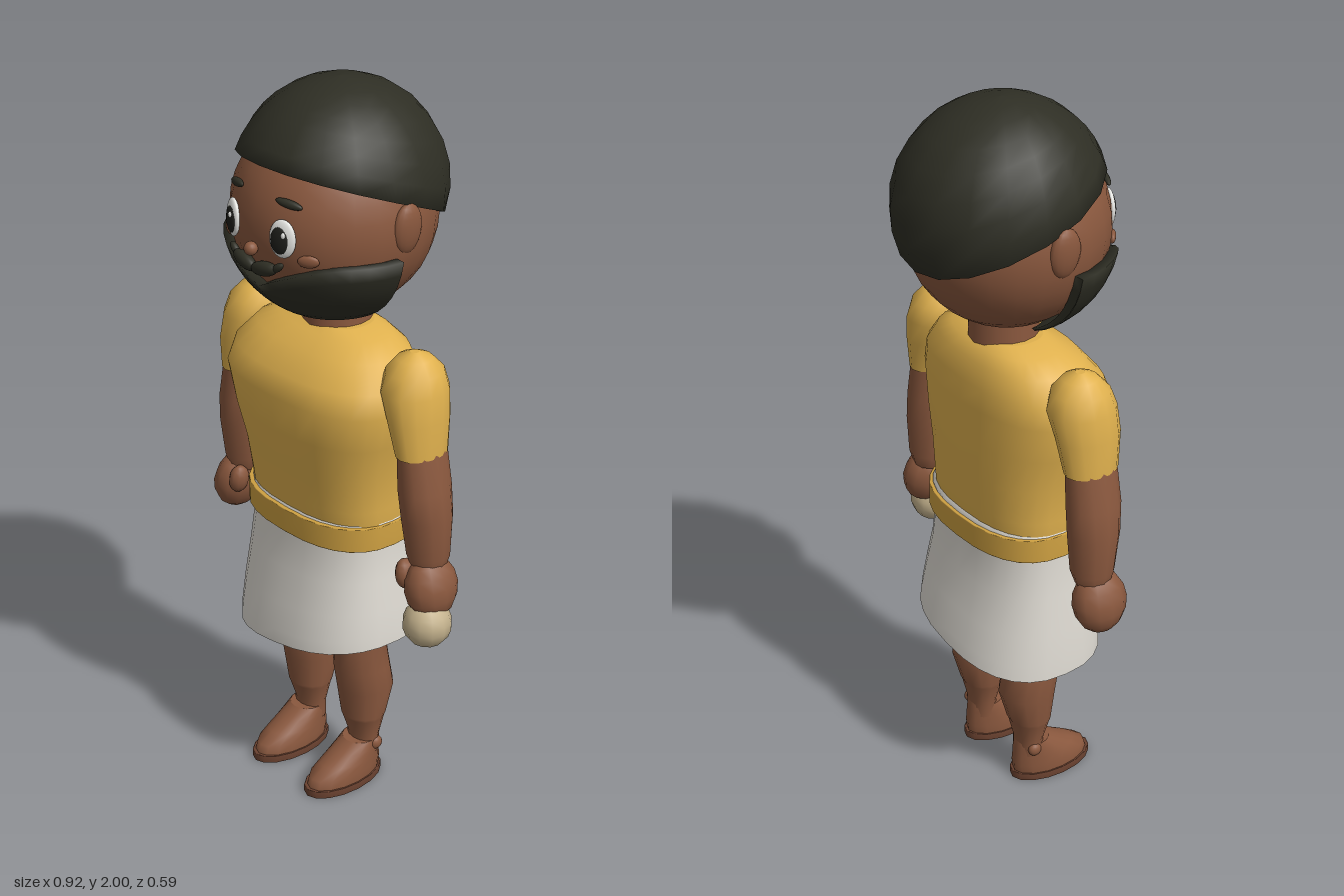
import * as THREE from 'three';

const mat = (name, color, side = THREE.FrontSide) => {
  const m = new THREE.MeshStandardMaterial({ color, side });
  m.name = name;
  return m;
};

// Indexed grid surface from point(row, column); columns optionally wrap round
function grid(rows, cols, point, wrap = true) {
  const pos = [], idx = [], n = wrap ? cols : cols + 1;
  for (let i = 0; i <= rows; i++)
    for (let j = 0; j < n; j++) pos.push(...point(i, j));
  for (let i = 0; i < rows; i++)
    for (let j = 0; j < cols; j++) {
      const k = (j + 1) % n, a = i * n + j, b = i * n + k;
      idx.push(a, b, b + n, a, b + n, a + n);
    }
  const g = new THREE.BufferGeometry();
  g.setAttribute('position', new THREE.Float32BufferAttribute(pos, 3));
  g.setIndex(idx);
  g.computeVertexNormals();
  return g;
}

// Loft of rounded sections, each [y, half width, front z, back z, centre x]
function loft(sections, { seg = 20, pow = 1, x = 0, side = 1, caps = true, tilt = null } = {}) {
  const soft = v => Math.sign(v) * Math.abs(v) ** pow;
  const shape = (s, k) => j => {
    const a = (j / seg) * Math.PI * 2, mid = (s[2] + s[3]) / 2;
    const px = x + side * (s[4] || 0) + s[1] * k * soft(Math.sin(a));
    return [px, s[0] + (tilt ? tilt(px, s[0]) : 0), mid + ((s[2] - s[3]) / 2) * k * soft(Math.cos(a))];
  };
  const rows = sections.map(s => shape(s, 1));
  if (caps) {
    const a = sections[0], b = sections[sections.length - 1];
    // doubled rims keep the cap edges crisp
    rows.unshift(shape(a, 0), shape(a, 0.97));
    rows.push(shape(b, 0.97), shape(b, 0));
  }
  return grid(rows.length - 1, seg, (i, j) => rows[i](j));
}

export function createModel() {
  const D = THREE.DoubleSide;
  const skin = mat('skin', 0x8a583e);
  const soleBrown = mat('sole brown', 0x6b4230);
  const hairDark = mat('dark hair', 0x2e2e24, D);
  const yellow = mat('yellow cloth', 0xe0b14e);
  const gold = mat('gold belt', 0xcfa142, D);
  const white = mat('white cloth', 0xdfdbd3, D);
  const eyeWhite = mat('eye white', 0xeeeeea);
  const eyeDark = mat('eye dark', 0x1e1e1a);
  const cream = mat('cream stone', 0xc3b18c);

  const root = new THREE.Group();
  const body = new THREE.Group();
  body.name = 'figure';
  body.position.x = -0.008;
  root.add(body);
  const add = (name, geo, m, parent = body) => {
    const mesh = new THREE.Mesh(geo, m);
    mesh.name = name;
    parent.add(mesh);
    return mesh;
  };
  const ball = (name, m, p, r, roll = 0, ws = 16, hs = 12) => {
    const b = add(name, new THREE.SphereGeometry(1, ws, hs), m);
    b.position.set(...p);
    b.scale.set(...r);
    b.rotation.z = roll;
    return b;
  };

  // Head, ears and neck
  const HY = 1.66, HR = 0.265;
  ball('head', skin, [0, HY, 0], [HR, HR, HR], 0, 24, 18);
  const neck = add('neck', new THREE.CylinderGeometry(0.09, 0.095, 0.14, 16), skin);
  neck.position.set(0, 1.39, -0.01);
  for (const s of [-1, 1]) ball('ear', skin, [s * 0.255, 1.675, -0.012], [0.024, 0.068, 0.045], s * -0.08);

  // Hair cap with a rim that slopes from brow to nape
  add('hair', grid(9, 18, (i, j) => {
    const a = (j / 18) * Math.PI * 2, c = Math.cos(a);
    const rim = Math.acos((1.735 + 0.115 * c - 0.02 * c * c - 1.72) / 0.28);
    const t = rim * Math.min(1, (9 - i) / 8);
    const k = i === 0 ? 0.9 : 1; // thickness at the rim
    const t2 = i === 0 ? rim : rim * ((9 - i) / 8);
    const th = i === 0 ? t : t2;
    return [0.268 * k * Math.sin(th) * Math.sin(a), 1.72 + 0.28 * Math.cos(th),
      -0.02 + 0.285 * k * Math.sin(th) * c];
  }), hairDark);

  // Beard: thick shell round the jaw with a dipped top edge and closed ends
  const BU = 18, BV = 7;
  add('beard', grid(BU + 2, 2 * BV + 2, (i, j) => {
    const u = Math.min(BU, Math.max(0, i - 1)) / BU;
    const a = (u * 2 - 1) * 1.49;
    const top = 1.515 + 0.09 * Math.sin(Math.min(1, Math.abs(a)) * Math.PI / 2);
    const eTop = Math.asin((top - 1.645) / 0.27), eLow = Math.asin(-0.25 / 0.27);
    const inner = j > BV, v = (inner ? 2 * BV + 1 - j : j) / BV;
    const e = eTop + (eLow - eTop) * v;
    const k = inner && i > 0 && i < BU + 2 ? 0.89 : 1;
    const r = Math.cos(e) * k;
    return [0.288 * r * Math.sin(a), 1.645 + 0.27 * Math.sin(e) * (inner ? 0.99 : 1), 0.284 * r * Math.cos(a)];
  }), hairDark);

  // Facial features set on the head surface, facing outwards
  const feature = (name, m, x, y, lift, r, roll = 0) => {
    const n = new THREE.Vector3(x, y - HY, Math.sqrt(HR * HR - x * x - (y - HY) ** 2)).normalize();
    const f = ball(name, m, [0, 0, 0], r);
    f.position.copy(n).multiplyScalar(HR + lift);
    f.position.y += HY;
    f.quaternion.setFromUnitVectors(new THREE.Vector3(0, 0, 1), n)
      .multiply(new THREE.Quaternion().setFromAxisAngle(new THREE.Vector3(0, 0, 1), roll));
  };
  for (const s of [-1, 1]) {
    feature('eye', eyeWhite, s * 0.094, 1.67, 0.002, [0.037, 0.05, 0.013]);
    feature('pupil', eyeDark, s * 0.09, 1.667, 0.009, [0.026, 0.036, 0.01]);
    feature('eyeHighlight', eyeWhite, s * 0.09 + 0.012, 1.683, 0.018, [0.006, 0.008, 0.004]);
    feature('eyebrow', hairDark, s * 0.097, 1.755, 0.004, [0.038, 0.011, 0.01], s * -0.08);
    feature('cheek', skin, s * 0.15, 1.618, 0.002, [0.028, 0.017, 0.01]);
    feature('moustache', hairDark, s * 0.035, 1.58, 0.012, [0.045, 0.02, 0.018], s * 0.22);
    feature('moustacheTip', hairDark, s * 0.078, 1.594, 0.012, [0.022, 0.01, 0.01], s * 0.65);
  }
  feature('nose', skin, 0, 1.623, 0.01, [0.018, 0.018, 0.018]);

  // Shirt, belt and slanted skirt
  add('shirt', loft([
    [0.83, 0.24, 0.16, -0.14], [0.9, 0.243, 0.17, -0.145], [1.0, 0.25, 0.187, -0.15],
    [1.1, 0.276, 0.207, -0.152], [1.2, 0.298, 0.218, -0.15], [1.26, 0.285, 0.195, -0.145],
    [1.32, 0.235, 0.145, -0.13], [1.35, 0.175, 0.095, -0.105], [1.365, 0.11, 0.075, -0.085],
  ], { seg: 28, pow: 0.8 }), yellow);
  add('belt', loft([
    [0.79, 0.23, 0.155, -0.14], [0.79, 0.248, 0.18, -0.163], [0.792, 0.25, 0.182, -0.165],
    [0.856, 0.25, 0.182, -0.165], [0.858, 0.248, 0.18, -0.163], [0.858, 0.238, 0.17, -0.153],
  ], { seg: 28, pow: 0.8, caps: false }), gold);
  add('skirt', loft([
    [0.46, 0.265, 0.22, -0.205], [0.5, 0.264, 0.218, -0.2], [0.58, 0.258, 0.203, -0.182],
    [0.68, 0.246, 0.183, -0.16], [0.79, 0.236, 0.165, -0.147], [0.862, 0.242, 0.17, -0.156],
    [0.862, 0.2, 0.13, -0.12],
  ], { seg: 28, pow: 0.82, caps: false, tilt: (x, y) => 0.155 * x * Math.max(0, (0.8 - y) / 0.34) }), white);

  for (const s of [-1, 1]) {
    const x = s * 0.112;
    // Leg, foot and sole
    add('leg', loft([
      [0.08, 0.05, 0.035, -0.045], [0.13, 0.05, 0.03, -0.045], [0.19, 0.064, 0.05, -0.06],
      [0.2, 0.067, 0.054, -0.065], [0.29, 0.078, 0.068, -0.092], [0.36, 0.078, 0.08, -0.078],
      [0.42, 0.073, 0.08, -0.068], [0.52, 0.08, 0.083, -0.075], [0.8, 0.095, 0.09, -0.09],
    ], { seg: 14, x }), skin);
    add('foot', loft([
      [0.018, 0.063, 0.188, -0.052], [0.045, 0.062, 0.18, -0.055], [0.07, 0.058, 0.14, -0.052],
      [0.095, 0.054, 0.095, -0.05], [0.12, 0.049, 0.055, -0.045],
    ], { seg: 16, x }), skin);
    add('sole', loft([[0, 0.068, 0.198, -0.06], [0.02, 0.068, 0.198, -0.06]], { seg: 16, x }), soleBrown);
    ball('ankle', skin, [x + s * 0.043, 0.105, -0.015], [0.015, 0.02, 0.02]);

    // Sleeve, arm and hand
    add('sleeve', loft([
      [1.105, 0.054, 0.088, -0.066, 0.347], [1.2, 0.068, 0.1, -0.08, 0.333], [1.27, 0.084, 0.098, -0.088, 0.312],
      [1.32, 0.073, 0.08, -0.075, 0.308], [1.352, 0.046, 0.05, -0.045, 0.306], [1.368, 0.012, 0.015, -0.01, 0.306],
    ], { seg: 14, side: s }), yellow);
    add('arm', loft([
      [0.78, 0.044, 0.05, -0.042, 0.372], [0.82, 0.058, 0.062, -0.055, 0.37], [0.93, 0.066, 0.078, -0.062, 0.367],
      [1.01, 0.063, 0.086, -0.064, 0.36], [1.13, 0.051, 0.083, -0.062, 0.345],
    ], { seg: 12, side: s }), skin);
    ball('hand', skin, [s * 0.392, 0.73, 0.012], [0.06, 0.088, 0.078], s * 0.2, 12, 8);
    ball('thumb', skin, [s * 0.34, 0.762, 0.055], [0.025, 0.042, 0.03], s * 0.15, 10, 8);
  }

  // Stone held in the left hand
  ball('stone', cream, [0.404, 0.635, 0.035], [0.066, 0.066, 0.066], 0, 12, 9);

  return root;
}
